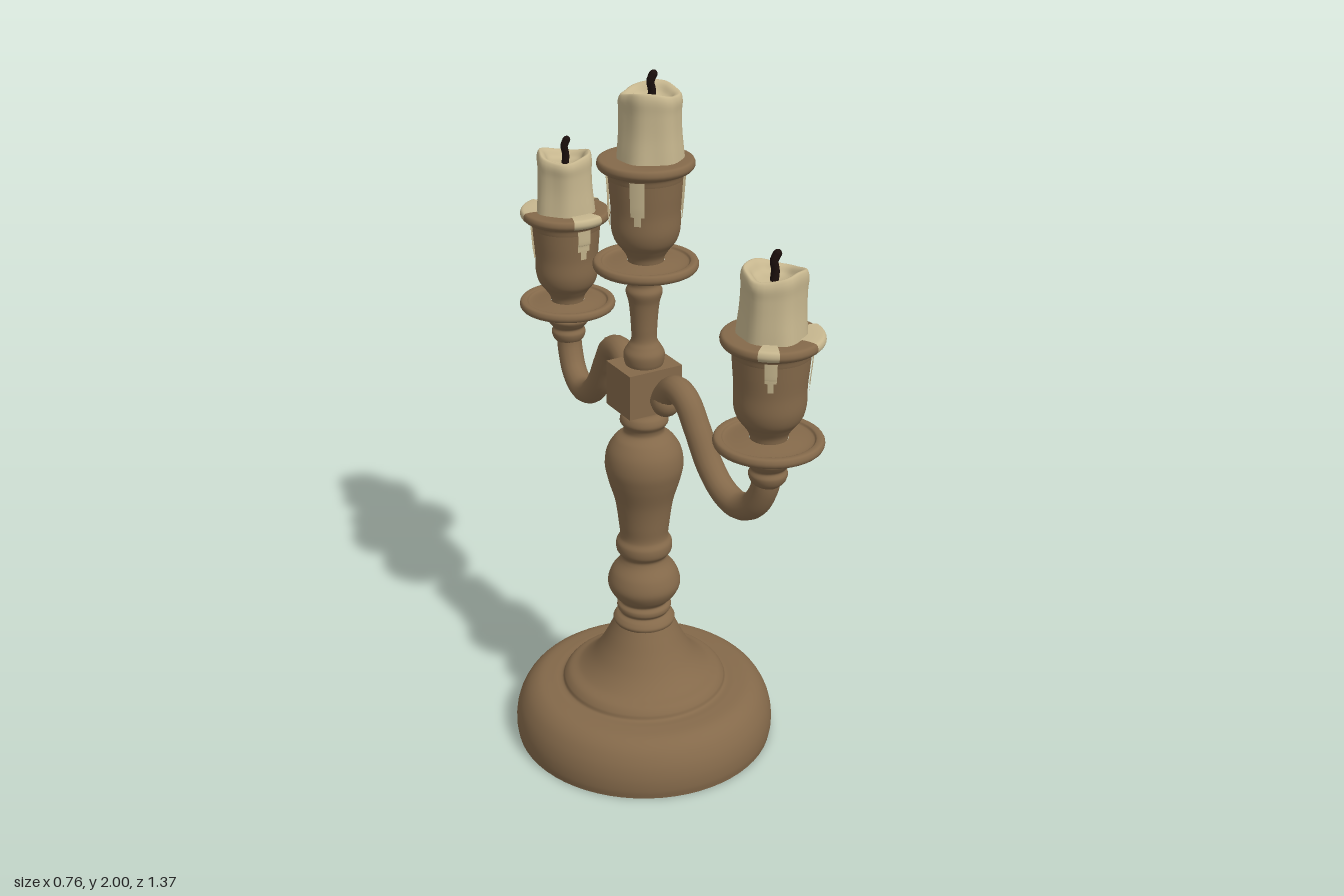
import * as THREE from 'three';
import { mergeVertices } from 'three/addons/utils/BufferGeometryUtils.js';

const mat = (name, color, side = THREE.FrontSide) =>
  Object.assign(new THREE.MeshStandardMaterial({ color, side }), { name });

// Smooth curve through [radius, height] pairs, as lathe points
function profile(pairs, steps = 6) {
  const curve = new THREE.CatmullRomCurve3(pairs.map(([r, y]) => new THREE.Vector3(r, y, 0)), false, 'centripetal');
  return curve.getPoints(pairs.length * steps).map(p => new THREE.Vector2(Math.max(p.x, 0), p.y));
}

function mesh(name, geometry, material) {
  const m = new THREE.Mesh(geometry, material);
  m.name = name;
  return m;
}

const turned = (name, pairs, material, segments = 40) =>
  mesh(name, new THREE.LatheGeometry(profile(pairs), segments), material);

export function createModel() {
  const bronze = mat('bronze', 0x84694a);
  const wax = mat('wax', 0xc6b68e, THREE.DoubleSide);
  const soot = mat('wick black', 0x1c100d);
  const model = new THREE.Group();
  model.name = 'candelabrum';

  // Domed foot with a raised step
  model.add(mesh('footUnderside', new THREE.CircleGeometry(0.378, 64).rotateX(Math.PI / 2).translate(0, 0.005, 0), bronze));
  model.add(turned('foot', [
    [0.378, 0.005], [0.382, 0.03], [0.38, 0.07], [0.368, 0.11], [0.345, 0.145], [0.315, 0.165], [0.27, 0.172],
    [0.242, 0.175], [0.236, 0.188], [0.222, 0.203], [0.19, 0.218], [0.155, 0.25], [0.125, 0.295], [0.1, 0.345], [0.086, 0.375],
  ], bronze, 64));

  // Turned stem below the block
  model.add(turned('stem', [
    [0.086, 0.37], [0.09, 0.382], [0.082, 0.395], [0.07, 0.405], [0.078, 0.418], [0.078, 0.43], [0.07, 0.442],
    [0.09, 0.465], [0.105, 0.5], [0.095, 0.54], [0.07, 0.575], [0.066, 0.59], [0.079, 0.61], [0.08, 0.635],
    [0.07, 0.655], [0.073, 0.7], [0.083, 0.77], [0.103, 0.84], [0.111, 0.885], [0.104, 0.93], [0.082, 0.965],
    [0.058, 0.985], [0.058, 1.0], [0.068, 1.018], [0.064, 1.035], [0.052, 1.05], [0.052, 1.07],
  ], bronze));

  // Square block that holds the arms
  model.add(mesh('block', new THREE.BoxGeometry(0.165, 0.13, 0.13).translate(0, 1.125, 0), bronze));

  // Turned neck above the block
  model.add(turned('neck', [
    [0.05, 1.185], [0.055, 1.2], [0.056, 1.225], [0.045, 1.245], [0.036, 1.262], [0.036, 1.3], [0.042, 1.37],
    [0.05, 1.405], [0.042, 1.425], [0.048, 1.445], [0.07, 1.47],
  ], bronze));

  // Cup outline, measured from the underside of its drip pan
  const pan = [[0, 0], [0.06, -0.005], [0.115, -0.002], [0.138, 0.004], [0.143, 0.015], [0.138, 0.027], [0.122, 0.027], [0.115, 0.02], [0.05, 0.026]];
  const cup = [[0.048, 0.02], [0.052, 0.04], [0.066, 0.062], [0.083, 0.085], [0.092, 0.115], [0.093, 0.17], [0.097, 0.22], [0.1, 0.26]];
  const rim = [[0.1, 0.255], [0.106, 0.274], [0.122, 0.28], [0.13, 0.292], [0.126, 0.306], [0.11, 0.309], [0, 0.304]];

  // Candle with a wavy side, a raised lip and a melted hollow
  function candle(seed, height) {
    const geo = new THREE.LatheGeometry(profile([
      [0.088, 0.295], [0.085, 0.33], [0.081, 0.38], [0.08, height - 0.05], [0.081, height - 0.015],
      [0.074, height], [0.062, height - 0.004], [0.045, height - 0.022], [0, height - 0.028],
    ], 4), 36);
    const p = geo.attributes.position;
    for (let i = 0; i < p.count; i++) {
      const x = p.getX(i), y = p.getY(i), z = p.getZ(i), a = Math.atan2(x, z);
      const k = 1 + 0.035 * Math.sin(6 * a + seed) + 0.025 * Math.sin(3 * a + seed * 2 + y * 14);
      const lip = Math.max(0, (y - height + 0.07) / 0.07) * Math.hypot(x, z) / 0.08;
      p.setXYZ(i, x * k, y + 0.01 * lip * Math.sin(2 * a + seed * 3), z * k);
    }
    geo.deleteAttribute('uv');
    geo.deleteAttribute('normal');
    const smooth = mergeVertices(geo, 1e-5);
    smooth.computeVertexNormals();
    return mesh('candle', smooth, wax);
  }

  function wick(height) {
    const path = new THREE.CatmullRomCurve3([
      [0, height - 0.035, 0], [0.002, height, 0.002], [-0.004, height + 0.025, 0.004], [0.003, height + 0.046, 0.008],
    ].map(p => new THREE.Vector3(...p)));
    const g = new THREE.Group();
    g.name = 'wick';
    g.add(mesh('wickStem', new THREE.TubeGeometry(path, 8, 0.011, 8), soot));
    g.add(mesh('wickTip', new THREE.SphereGeometry(0.011, 8, 6).translate(0.003, height + 0.044, 0.008), soot));
    return g;
  }

  // Wax skin over the cup or rim: [centre angle, angular width, lower end]
  function skin(name, pairs, angle, width, offset) {
    const pts = pairs.map(([r, y]) => [r + offset, y + offset]);
    return mesh(name, new THREE.LatheGeometry(profile(pts, 4), 10, angle - width / 2, width), wax);
  }

  function holder(name, x, y, z, height, seed, runs, pools, candleX = 0) {
    const g = new THREE.Group();
    g.name = name;
    g.position.set(x, y, z);
    g.add(turned('dripPan', pan, bronze), turned('cup', cup, bronze), turned('cupRim', rim, bronze));
    const c = candle(seed, height), w = wick(height);
    c.position.x = w.position.x = candleX;
    g.add(c, w);
    for (const [angle, width, low] of runs) {
      g.add(skin('waxRun', [[0.094, low], [0.096, low + 0.02], [0.098, 0.22], [0.101, 0.265]], angle, width, 0.005));
      g.add(skin('waxRunTip', [[0.092, low - 0.025], [0.095, low + 0.005]], angle, width * 0.5, 0.005));
    }
    for (const [angle, width] of pools) {
      g.add(skin('waxPool', [[0.105, 0.276], [0.122, 0.28], [0.13, 0.292], [0.126, 0.306], [0.11, 0.309], [0.07, 0.308]], angle, width, 0.004));
    }
    model.add(g);
  }

  holder('centreHolder', 0.005, 1.465, 0, 0.485, 1,
    [[-0.75, 0.38, 0.17], [0.85, 0.42, 0.17], [2.3, 0.35, 0.18], [-2.2, 0.4, 0.14]], [], 0.015);
  holder('frontHolder', 0.051, 1.155, 0.539, 0.475, 2.3,
    [[0.9, 0.45, 0.18], [-0.6, 0.3, 0.21], [1.9, 0.3, 0.21]], [[0.95, 1.1], [-0.65, 0.4]]);
  holder('backHolder', 0.051, 1.155, -0.544, 0.475, 4.1,
    [[2.2, 0.5, 0.2], [-2.3, 0.45, 0.17], [0.05, 0.4, 0.2]], [[2.05, 0.45], [-2.2, 1.1], [0.05, 0.7]]);

  // Mirrored S-shaped arms with a scroll at the block and a collar under the pan
  for (const s of [1, -1]) {
    const arm = new THREE.Group();
    arm.name = s > 0 ? 'frontArm' : 'backArm';
    const path = new THREE.CatmullRomCurve3([
      [0.01, 1.1, 0.085], [0.01, 1.135, 0.105], [0.011, 1.168, 0.15], [0.013, 1.155, 0.202], [0.018, 1.09, 0.25],
      [0.024, 1.005, 0.305], [0.03, 0.953, 0.365], [0.036, 0.938, 0.43], [0.043, 0.967, 0.492],
      [0.049, 1.03, 0.53], [0.051, 1.1, 0.54],
    ].map(([x, y, z]) => new THREE.Vector3(x, y, z * s)), false, 'centripetal');
    arm.add(mesh('armTube', new THREE.TubeGeometry(path, 64, 0.037, 16), bronze));
    const scroll = mesh('armScroll', new THREE.SphereGeometry(0.04, 20, 14), bronze);
    scroll.position.set(0.01, 1.108, 0.1 * s);
    arm.add(scroll);
    const collar = turned('armCollar', [
      [0.03, 1.045], [0.045, 1.06], [0.051, 1.08], [0.046, 1.095], [0.056, 1.108], [0.066, 1.125], [0.06, 1.14], [0.066, 1.16],
    ], bronze, 28);
    collar.position.set(0.051, 0, 0.541 * s);
    arm.add(collar);
    model.add(arm);
  }
  return model;
}
